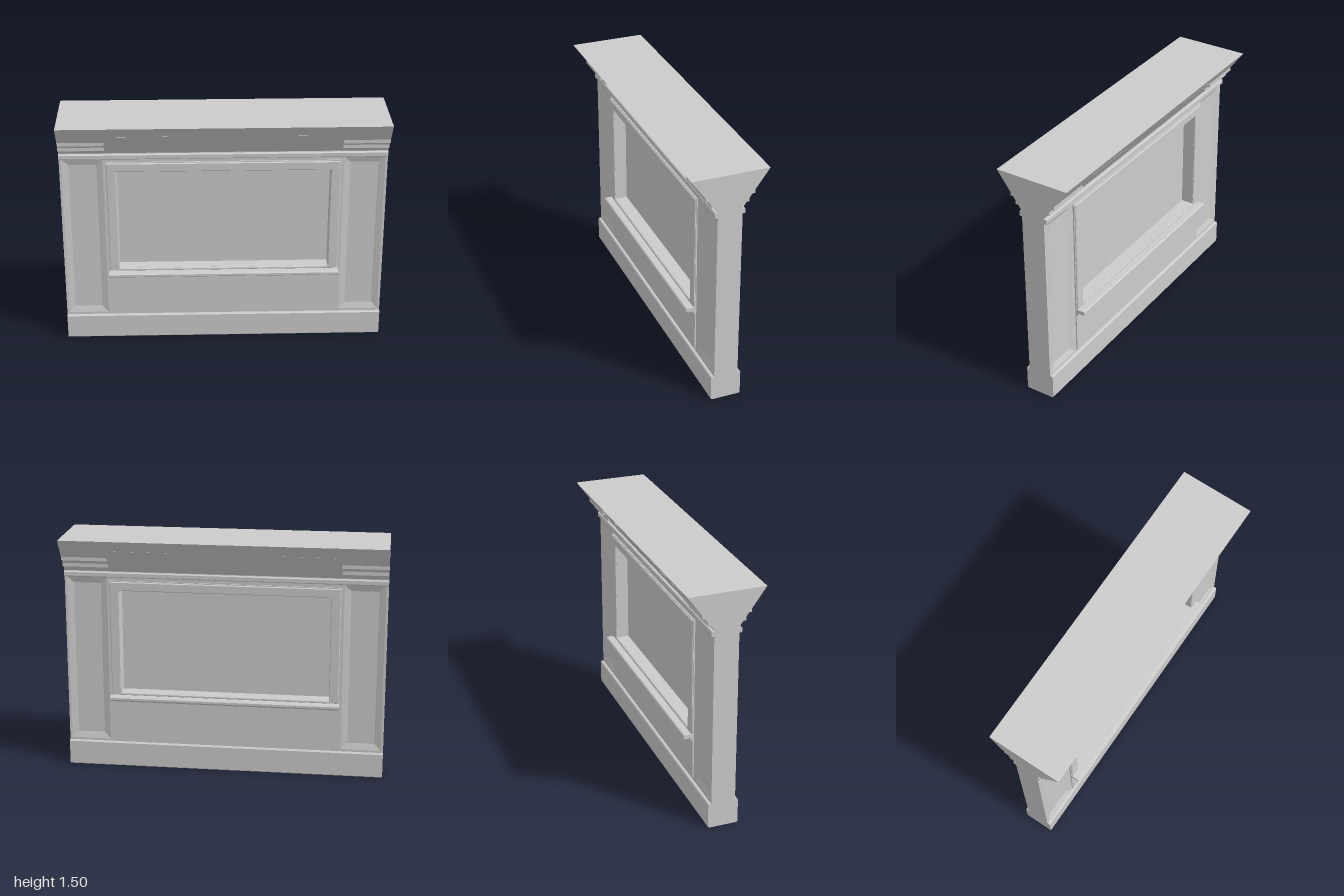
import * as THREE from 'three';

const material = new THREE.MeshStandardMaterial({ color: 0xcccccc });
const WALL = 0.075; // half thickness of the wall

function add(parent, name, geometry) {
  const mesh = new THREE.Mesh(geometry, material);
  mesh.name = name;
  parent.add(mesh);
  return mesh;
}

// Counter-clockwise rectangle, used for outlines and holes
function rect(x0, y0, x1, y1, Type = THREE.Shape) {
  return new Type([[x0, y0], [x1, y0], [x1, y1], [x0, y1]].map(p => new THREE.Vector2(...p)));
}

// Plate with rectangular holes, from z0 to z1, optionally with a chamfered edge
function plate(outline, holes, z0, z1, chamfer = 0) {
  const shape = rect(...outline);
  holes.forEach(h => shape.holes.push(rect(...h, THREE.Path)));
  const geometry = new THREE.ExtrudeGeometry(shape, {
    depth: z1 - z0 - 2 * chamfer, bevelEnabled: chamfer > 0, bevelSegments: 1,
    bevelSize: chamfer, bevelThickness: chamfer, bevelOffset: -chamfer,
  });
  return geometry.translate(0, 0, z0 + chamfer);
}

// Moulding with a [z, y] profile running along x
function moulding(profile, x0, x1) {
  const shape = new THREE.Shape(profile.map(([z, y]) => new THREE.Vector2(-z, y)));
  const geometry = new THREE.ExtrudeGeometry(shape, { depth: x1 - x0, bevelEnabled: false });
  return geometry.rotateY(Math.PI / 2).translate(x0, 0, 0);
}

// Bar profile with its two front corners chamfered
const bar = (y0, y1, z, c) => [[0.07, y0], [z - c, y0], [z, y0 + c], [z, y1 - c], [z - c, y1], [0.07, y1]];

// Sunken panel: four sloping borders and a flat floor
function sunkenPanel([x0, y0, x1, y1], border, depth) {
  const ring = (d, z) => [[x0 + d, y0 + d, z], [x1 - d, y0 + d, z], [x1 - d, y1 - d, z], [x0 + d, y1 - d, z]];
  const points = [...ring(0, WALL), ...ring(border, WALL - depth)];
  const index = [4, 5, 6, 4, 6, 7];
  for (let i = 0; i < 4; i++) {
    const j = (i + 1) % 4;
    index.push(i, j, j + 4, i, j + 4, i + 4);
  }
  const geometry = new THREE.BufferGeometry();
  geometry.setAttribute('position', new THREE.Float32BufferAttribute(points.flat(), 3));
  geometry.setIndex(index);
  const flat = geometry.toNonIndexed();
  flat.computeVertexNormals();
  return flat;
}

const opening = [-0.655, 0.495, 0.655, 1.16];
const panels = [[-0.985, 0.175, -0.735, 1.24], [0.735, 0.175, 0.985, 1.24]];
const crownZ = y => WALL + 0.16 * (y - 1.28) / 0.22; // slope of the crown

// Everything applied to one face of the wall
function createFace(name) {
  const face = new THREE.Group();
  face.name = name;
  add(face, 'baseboard', moulding(bar(0, 0.16, 0.094, 0.006), -1, 1));
  add(face, 'centreBoard', plate([-0.72, 0.175, 0.72, 1.22], [opening], 0.07, 0.083));
  add(face, 'windowTrim', plate([-0.715, 0.478, 0.715, 1.215], [opening], 0.08, 0.092, 0.004));
  add(face, 'sill', moulding(bar(0.455, 0.48, 0.14, 0.006), -0.72, 0.72));
  add(face, 'sillMoulding', moulding(bar(0.435, 0.456, 0.094, 0.005), -0.72, 0.72));
  add(face, 'topBand', moulding(bar(1.243, 1.276, 0.092, 0.005), -1, 1));
  panels.forEach(p => add(face, 'sidePanel', sunkenPanel(p, 0.04, 0.012)));

  for (const s of [-1, 1]) {
    const [x0, x1] = s < 0 ? [-1, -0.72] : [0.72, 1];
    // Stepped bars at the ends of the crown
    for (const [y0, y1] of [[1.312, 1.334], [1.358, 1.38]]) {
      add(face, 'crownBar', moulding([[0.07, y0], [crownZ(y1), y0], [crownZ(y1), y1], [0.07, y1]], x0, x1));
    }
    // Thin plaque lying on the crown slope
    const [a, b] = [1.37, 1.43];
    const plaque = [[crownZ(a) - 0.01, a], [crownZ(a) + 0.0015, a], [crownZ(b) + 0.0015, b], [crownZ(b) - 0.01, b]];
    add(face, 'crownPlaque', moulding(plaque, s * 0.505 - 0.175, s * 0.505 + 0.175));
  }
  return face;
}

export function createModel() {
  const model = new THREE.Group();
  model.name = 'windowWall';

  add(model, 'wall', plate([-1, 0, 1, 1.28], [opening, ...panels], -WALL, WALL));
  add(model, 'crown', moulding([[-WALL, 1.28], [WALL, 1.28], [0.235, 1.5], [-0.235, 1.5]], -1, 1));
  add(model, 'windowPane', new THREE.BoxGeometry(1.31, 0.665, 0.01)).position.y = 0.8275;

  model.add(createFace('frontFace'));
  const back = createFace('backFace');
  back.rotation.y = Math.PI;
  model.add(back);
  return model;
}
